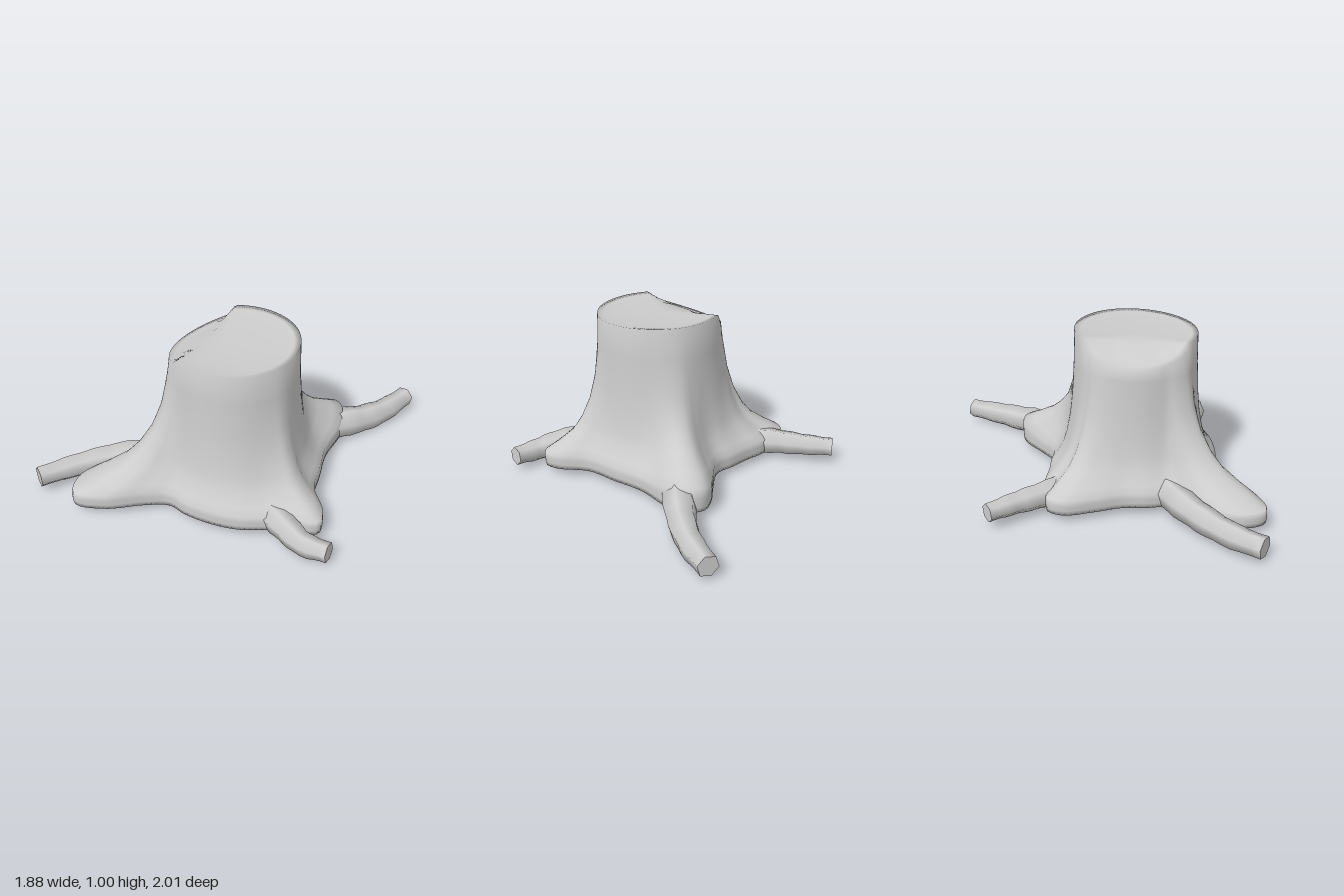
import * as THREE from 'three';

const wood = new THREE.MeshStandardMaterial({ color: 0xcccccc });
wood.name = 'grey wood';

const SEG = 144;
const CX = 0.092, CZ = 0.215, TOP_R = 0.38;
const { lerp, smoothstep } = THREE.MathUtils;

// Skin a list of closed rings, smooth across the whole surface
function loft(name, rings) {
  const n = rings[0].length, pos = [], idx = [];
  rings.forEach(r => r.forEach(p => pos.push(p.x, p.y, p.z)));
  for (let k = 0; k < rings.length - 1; k++) {
    for (let i = 0; i < n; i++) {
      const j = (i + 1) % n, a = k * n, b = a + n;
      idx.push(a + i, b + i, a + j, a + j, b + i, b + j);
    }
  }
  const g = new THREE.BufferGeometry();
  g.setAttribute('position', new THREE.Float32BufferAttribute(pos, 3));
  g.setIndex(idx);
  g.computeVertexNormals();
  const mesh = new THREE.Mesh(g, wood);
  mesh.name = name;
  return mesh;
}

// Cut height: nearly level, with a chip on the right that softens inward
function cutHeight(x, z, inward) {
  const chip = 0.87 + (x + 0.29) * 0.4;
  const level = 1 - 0.02 * smoothstep(z, -0.15, 0.6);
  const soft = 0.03 + 0.12 * inward;
  return lerp(chip, level, smoothstep(x, -0.11 - soft, -0.11 + soft));
}

// Tapered root with hexagonal cross-section and flat end
function root(name, points, r0, r1) {
  const curve = new THREE.CatmullRomCurve3(points.map(p => new THREE.Vector3(...p)));
  const steps = 14, sides = 6, up = new THREE.Vector3(0, 1, 0);
  const rings = [];
  for (let k = 0; k <= steps; k++) {
    const t = k / steps, c = curve.getPointAt(t), dir = curve.getTangentAt(t);
    const side = new THREE.Vector3().crossVectors(dir, up).normalize();
    const lift = new THREE.Vector3().crossVectors(side, dir);
    const r = lerp(r0, r1, t) * (1 + 0.04 * Math.sin(k * 1.9));
    rings.push(Array.from({ length: sides }, (_, i) => {
      const a = -(i + 0.25) / sides * Math.PI * 2;
      return c.clone().addScaledVector(side, -r * Math.cos(a)).addScaledVector(lift, r * Math.sin(a));
    }));
  }
  const group = new THREE.Group();
  group.name = name;
  const last = rings[steps], tip = curve.getPointAt(1);
  group.add(loft('rootBark', rings), loft('rootEnd', [last, last.map(() => tip)]));
  return group;
}

export function createModel() {
  const model = new THREE.Group();
  model.name = 'treeStump';

  // Flared footprint, as x and z pairs
  const foot = [
    [-0.42, -0.29], [-0.32, -0.325], [-0.18, -0.315], [-0.05, -0.315], [0.08, -0.31], [0.22, -0.42],
    [0.33, -0.52], [0.42, -0.56], [0.5, -0.52], [0.555, -0.4], [0.56, -0.15], [0.61, 0.05],
    [0.66, 0.25], [0.79, 0.41], [0.81, 0.51], [0.7, 0.56], [0.55, 0.62], [0.4, 0.7],
    [0.25, 0.74], [0.05, 0.75], [-0.07, 0.73], [-0.2, 0.8], [-0.4, 0.95], [-0.58, 1.0],
    [-0.64, 0.87], [-0.61, 0.73], [-0.52, 0.6], [-0.43, 0.47], [-0.45, 0.3], [-0.46, 0.15],
    [-0.51, 0], [-0.56, -0.2], [-0.51, -0.3],
  ];
  const footCurve = new THREE.CatmullRomCurve3(
    foot.map(([x, z]) => new THREE.Vector3(x, 0, z)), true);
  const base = Array.from({ length: SEG }, (_, i) => footCurve.getPointAt(i / SEG));

  // Round cut, from the rim (scale 1) to its centre (scale 0), slightly dished
  const cutRings = [[1, 0], [0.9, 0.006], [0.75, 0.012], [0.5, 0.018], [0.25, 0.02], [0, 0.02]]
    .map(([s, dish]) => base.map(p => {
      const a = Math.atan2(p.z - CZ, p.x - CX);
      const x = CX + TOP_R * s * Math.cos(a), z = CZ + TOP_R * s * Math.sin(a);
      return new THREE.Vector3(x, cutHeight(x, z, 1 - s) - dish, z);
    }));

  // Trunk: blend from footprint (1) to round cut (0) with height
  const levels = [
    [0.045, 0.99], [0.075, 1], [0.105, 1], [0.14, 0.99], [0.18, 0.8], [0.25, 0.53],
    [0.33, 0.37], [0.45, 0.22], [0.6, 0.11], [0.8, 0.03],
  ];
  const trunkRings = levels.map(([y, t]) => base.map((p, i) => {
    const q = cutRings[0][i].clone().lerp(p, t);
    // the back left shoulder stands higher where its root leaves
    const shoulder = Math.exp(-((p.x - 0.47) ** 2 + (p.z + 0.5) ** 2) / 0.03);
    q.y = y + 0.07 * shoulder * smoothstep(y, 0.07, 0.15) * smoothstep(t, 0.1, 0.5);
    return q;
  }));
  const middle = new THREE.Vector3(CX, 0.045, CZ);
  model.add(loft('stump', [base.map(() => middle), ...trunkRings, ...cutRings]));

  // Four thin roots
  model.add(
    root('backLeftRoot', [[0.42, 0.11, -0.34], [0.52, 0.105, -0.45], [0.63, 0.085, -0.6], [0.72, 0.077, -0.77], [0.79, 0.085, -0.985]], 0.11, 0.063),
    root('backRightRoot', [[-0.3, 0.1, -0.17], [-0.42, 0.1, -0.33], [-0.52, 0.1, -0.48], [-0.635, 0.1, -0.63]], 0.095, 0.057),
    root('frontRightRoot', [[-0.3, 0.11, 0.4], [-0.5, 0.115, 0.51], [-0.67, 0.1, 0.66], [-0.79, 0.09, 0.8], [-0.885, 0.09, 0.95]], 0.1, 0.066),
    root('frontLeftRoot', [[0.46, 0.11, 0.51], [0.64, 0.1, 0.6], [0.78, 0.08, 0.65], [0.935, 0.09, 0.65]], 0.1, 0.057),
  );
  return model;
}
